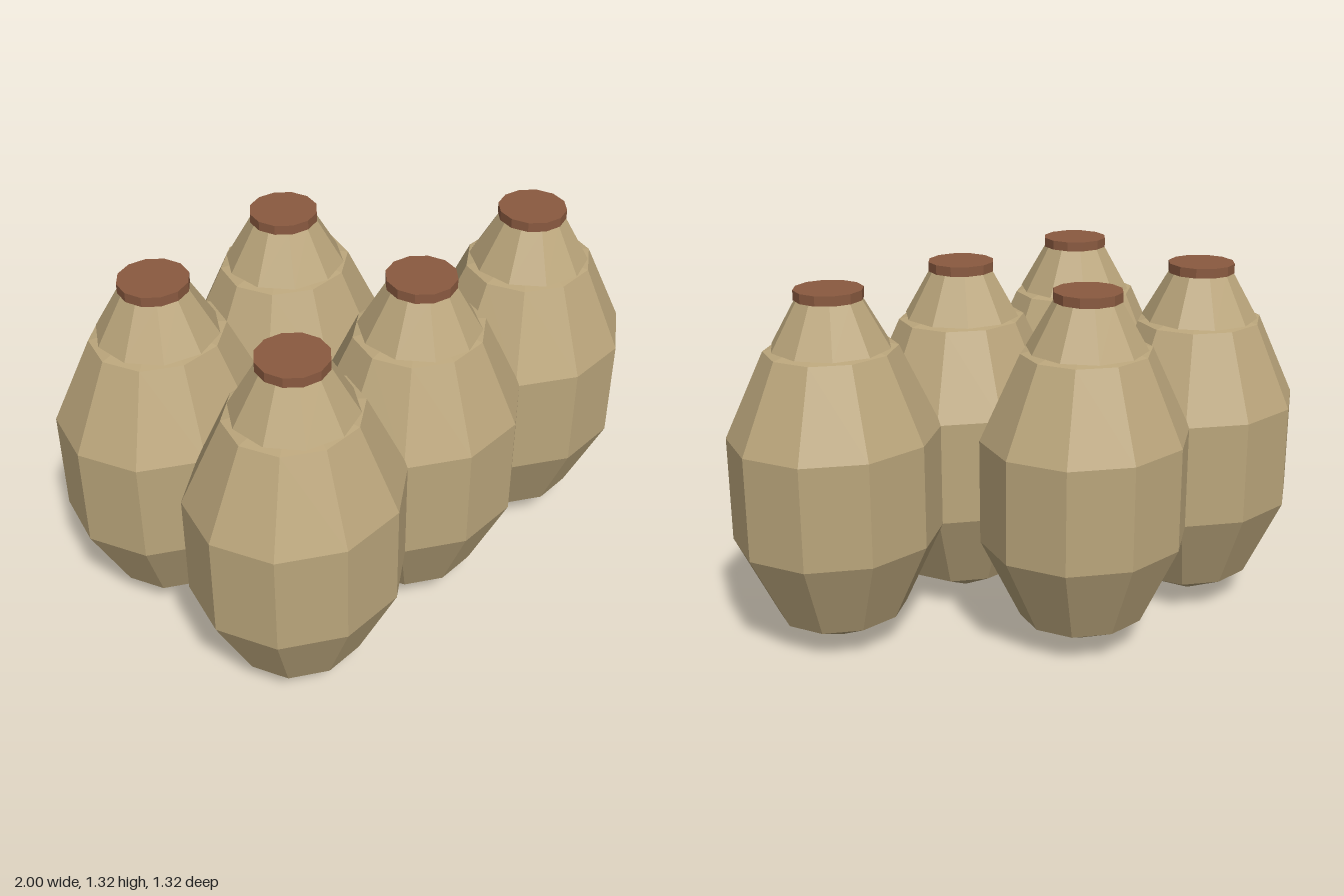
import * as THREE from 'three';

export function createModel() {
  const group = new THREE.Group();
  group.name = 'jarCluster';
  const clay = new THREE.MeshStandardMaterial({ color: 0xbaa57b, flatShading: true });
  clay.name = 'pale clay';
  const stopper = new THREE.MeshStandardMaterial({ color: 0x8a5a40, flatShading: true });
  stopper.name = 'brown stopper';

  // Ten-sided body with pointed foot and a shallow shoulder, slightly narrower in z
  const profile = [[0, 0], [0.242, 0.12], [0.39, 0.42], [0.39, 0.8], [0.242, 1.107], [0, 1.16]]
    .map(([r, y]) => new THREE.Vector2(r, y));
  const bodyGeo = new THREE.LatheGeometry(profile, 10, Math.PI / 2);
  bodyGeo.scale(1, 1, 0.916);

  // Conical neck and round lid
  const neckGeo = new THREE.CylinderGeometry(0.117, 0.214, 0.17, 10).translate(0, 1.2, 0);
  const lidGeo = new THREE.CylinderGeometry(0.122, 0.122, 0.035, 12).translate(0, 1.301, 0);

  const add = (parent, name, geometry, material) => {
    const mesh = new THREE.Mesh(geometry, material);
    mesh.name = name;
    parent.add(mesh);
  };

  // Three jars in front, two behind
  const spots = [[-0.61, 0.32], [0, 0.32], [0.61, 0.32], [-0.61, -0.32], [0, -0.32]];
  spots.forEach(([x, z], i) => {
    const jar = new THREE.Group();
    jar.name = `jar${i + 1}`;
    jar.position.set(x, 0, z);
    add(jar, 'body', bodyGeo, clay);
    add(jar, 'neck', neckGeo, clay);
    add(jar, 'lid', lidGeo, stopper);
    group.add(jar);
  });
  return group;
}
